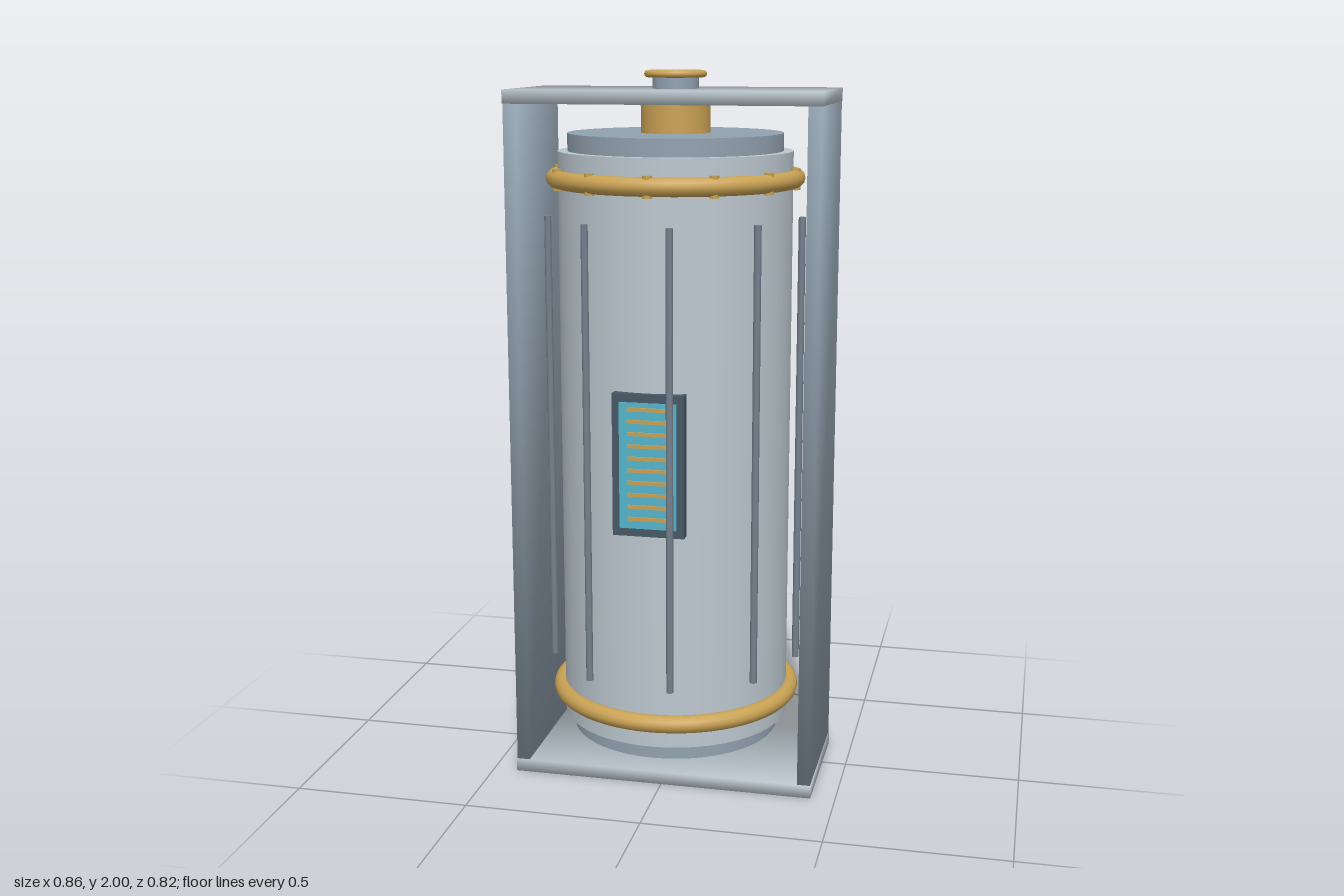
import * as THREE from 'three';

const mat = (name, color, extra = {}) => {
  const m = new THREE.MeshStandardMaterial({ color, ...extra });
  m.name = name;
  return m;
};

export function createModel() {
  const shell = mat('pale steel', 0xbcc8cf);
  const steel = mat('blue steel', 0x92a2b0);
  const brass = mat('brass', 0xc9a254);
  const rodGrey = mat('rod grey', 0x76828f);
  const dark = mat('dark slate', 0x475866);
  const cyan = mat('cyan glass', 0x55b4cc);

  const model = new THREE.Group();
  model.name = 'tank';
  const AXIS = 0.052; // z of the tank's axis

  const add = (name, geometry, material, x, y, z) => {
    const m = new THREE.Mesh(geometry, material);
    m.name = name;
    m.position.set(x, y, z);
    model.add(m);
    return m;
  };
  const cylinder = (name, r, y0, y1, material, x = 0, z = AXIS, sides = 32) =>
    add(name, new THREE.CylinderGeometry(r, r, y1 - y0, sides), material, x, (y0 + y1) / 2, z);
  const ring = (name, r, tube, y) => {
    const m = add(name, new THREE.TorusGeometry(r, tube, 12, 64), brass, 0, y, AXIS);
    m.rotation.x = Math.PI / 2;
  };
  // box whose normals blend softly around its corners
  const softBox = (name, w, h, d, material, x, y, z) => {
    const g = new THREE.BoxGeometry(w, h, d);
    const p = g.attributes.position, n = g.attributes.normal, k = 1 / Math.sqrt(3);
    for (let i = 0; i < p.count; i++)
      n.setXYZ(i, Math.sign(p.getX(i)) * k, Math.sign(p.getY(i)) * k, Math.sign(p.getZ(i)) * k);
    return add(name, g, material, x, y, z);
  };

  // tank body, stepped caps and end pipes
  cylinder('tankBody', 0.323, 0.17, 1.785, shell, 0, AXIS, 48);
  cylinder('bottomCap', 0.296, 0.125, 0.17, steel, 0, AXIS, 48);
  cylinder('topCap', 0.296, 1.785, 1.833, steel, 0, AXIS, 48);
  cylinder('bottomPipe', 0.095, 0.035, 0.13, brass);
  cylinder('topPipe', 0.095, 1.83, 1.92, brass);

  // brass bands, with studs on the upper one
  ring('lowerBand', 0.331, 0.025, 0.243);
  ring('upperBand', 0.331, 0.025, 1.712);
  for (let i = 0; i < 12; i++) {
    const a = (i * Math.PI) / 6;
    cylinder('stud', 0.013, 1.683, 1.741, brass,
      0.333 * Math.sin(a), AXIS + 0.333 * Math.cos(a), 12);
  }

  // nine rods standing around the body
  for (let i = 0; i < 9; i++) {
    const a = ((10 + 40 * i) * Math.PI) / 180;
    cylinder('rod', 0.01, 0.345, 1.61, rodGrey,
      0.353 * Math.sin(a), AXIS + 0.353 * Math.cos(a), 8);
  }

  // gauge panel with brass graduation bars
  add('gaugeFrame', new THREE.BoxGeometry(0.196, 0.39, 0.04), dark, 0, 0.975, 0.37);
  add('gaugeGlass', new THREE.BoxGeometry(0.156, 0.345, 0.006), cyan, 0, 0.975, 0.391);
  for (let i = 0; i < 10; i++)
    add('gaugeBar', new THREE.BoxGeometry(0.11, 0.01, 0.006), brass, 0, 0.83 + i * 0.0333, 0.395);

  // surrounding frame
  softBox('topPlate', 0.862, 0.037, 0.394, shell, 0, 1.932, AXIS);
  softBox('bottomPlate', 0.862, 0.037, 0.394, shell, 0, 0.0185, AXIS);
  for (const s of [-1, 1])
    softBox('sidePlate', 0.037, 1.877, 0.39, steel, s * 0.411, 0.975, AXIS);

  // rear wall brackets
  for (const x of [-0.167, 0.167])
    for (const y of [0.578, 1.383])
      softBox('rearBracket', 0.036, 0.064, 0.133, steel, x, y, -0.348);

  // valve with hand wheel
  cylinder('valveStem', 0.063, 1.95, 1.984, steel);
  ring('handWheel', 0.076, 0.0095, 1.99);
  for (let i = 0; i < 2; i++) {
    const spoke = add('wheelSpoke', new THREE.CylinderGeometry(0.006, 0.006, 0.15, 8),
      brass, 0, 1.99, AXIS);
    if (i) spoke.rotation.x = Math.PI / 2;
    else spoke.rotation.z = Math.PI / 2;
  }
  add('wheelHub', new THREE.SphereGeometry(0.02, 16, 12), shell, 0, 1.98, AXIS);

  return model;
}
